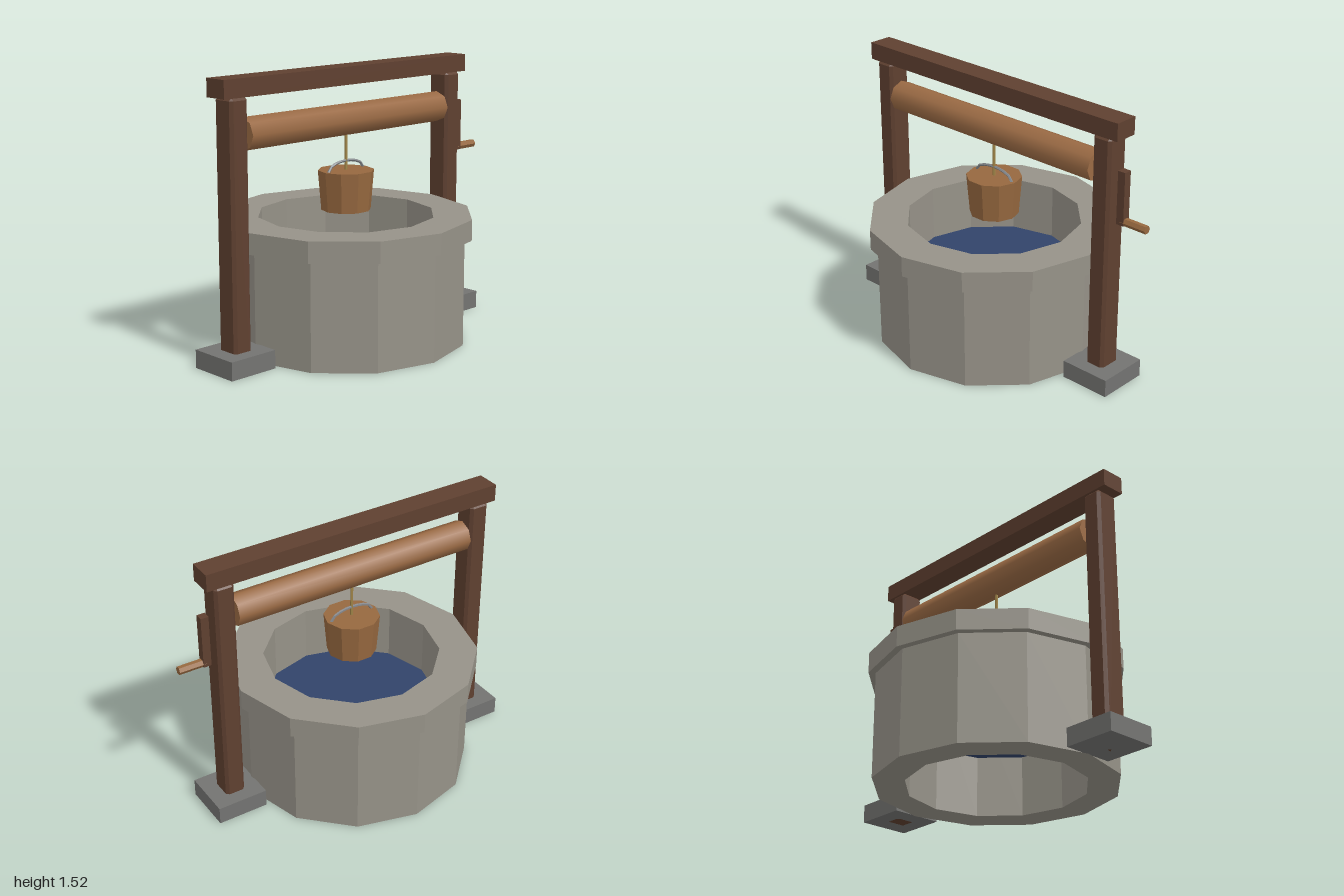
import * as THREE from 'three';
import { ConvexGeometry } from 'three/addons/geometries/ConvexGeometry.js';

const CX = -0.055; // axis of the well shaft

function material(color, flatShading = true) {
  return new THREE.MeshStandardMaterial({ color, flatShading });
}

// Box with every edge cut back by a chamfer c
function chamferedBox(w, h, d, c) {
  const points = [];
  for (const sx of [-1, 1]) for (const sy of [-1, 1]) for (const sz of [-1, 1]) {
    const x = w / 2, y = h / 2, z = d / 2;
    points.push(
      new THREE.Vector3(sx * x, sy * (y - c), sz * (z - c)),
      new THREE.Vector3(sx * (x - c), sy * y, sz * (z - c)),
      new THREE.Vector3(sx * (x - c), sy * (y - c), sz * z));
  }
  return new ConvexGeometry(points);
}

export function createModel() {
  const model = new THREE.Group();
  model.name = 'well';

  const stone = material(0x969288);
  const footingStone = material(0x737371);
  const darkWood = material(0x5f4030);
  const lightWood = material(0x96683f);
  const logWood = material(0x9a6a44, false);
  const waterBlue = material(0x31436a);
  const ropeTan = material(0xa08548);
  const iron = material(0x85888c);

  function add(name, geometry, mat, x, y, z = 0) {
    const mesh = new THREE.Mesh(geometry, mat);
    mesh.name = name;
    mesh.position.set(x, y, z);
    model.add(mesh);
    return mesh;
  }

  // Twelve-sided stone ring with an overhanging rim, open at the bottom
  const profile = [
    [0.49, 0], [0.663, 0], [0.663, 0.59], [0.702, 0.59],
    [0.702, 0.705], [0.49, 0.705], [0.49, 0],
  ].map(([r, y]) => new THREE.Vector2(r, y));
  add('stoneWall', new THREE.LatheGeometry(profile, 12), stone, CX, 0);
  add('water', new THREE.CylinderGeometry(0.489, 0.489, 0.05, 12), waterBlue, CX, 0.37);

  // Posts on their footings, one on each side
  for (const [side, s] of [['left', 1], ['right', -1]]) {
    add(side + 'Footing', new THREE.BoxGeometry(0.29, 0.1, 0.293), footingStone, CX + s * 0.8, 0.05);
    add(side + 'Post', chamferedBox(0.114, 1.42, 0.134, 0.016), darkWood, CX + s * 0.797, 0.71);
  }
  add('topBeam', new THREE.BoxGeometry(1.795, 0.097, 0.136), darkWood, CX, 1.467);

  // Winding log
  const log = add('windingLog', new THREE.CylinderGeometry(0.087, 0.087, 1.46, 8), logWood, CX, 1.222);
  log.rotation.z = Math.PI / 2;

  // Crank
  add('crankArm', new THREE.BoxGeometry(0.045, 0.295, 0.045), darkWood, 0.8425, 1.0975);
  const grip = add('crankGrip', new THREE.CylinderGeometry(0.023, 0.023, 0.16, 6), lightWood, 0.92, 0.968);
  grip.rotation.z = Math.PI / 2;

  // Ten-sided bucket hanging on its rope
  const bucket = add('bucket', new THREE.CylinderGeometry(0.155, 0.137, 0.22, 10), lightWood, CX, 0.835);
  bucket.rotation.y = Math.PI / 2;
  add('rope', new THREE.CylinderGeometry(0.008, 0.008, 0.22, 6), ropeTan, CX, 1.05);

  // Flattened bail handle
  const arc = [];
  for (let i = 0; i <= 8; i++) {
    const a = Math.PI * i / 8;
    arc.push(new THREE.Vector3(0.131 * Math.cos(a), 0.052 * Math.sin(a), 0));
  }
  add('bucketHandle', new THREE.TubeGeometry(new THREE.CatmullRomCurve3(arc), 8, 0.008, 5), iron, CX, 0.944);

  return model;
}
